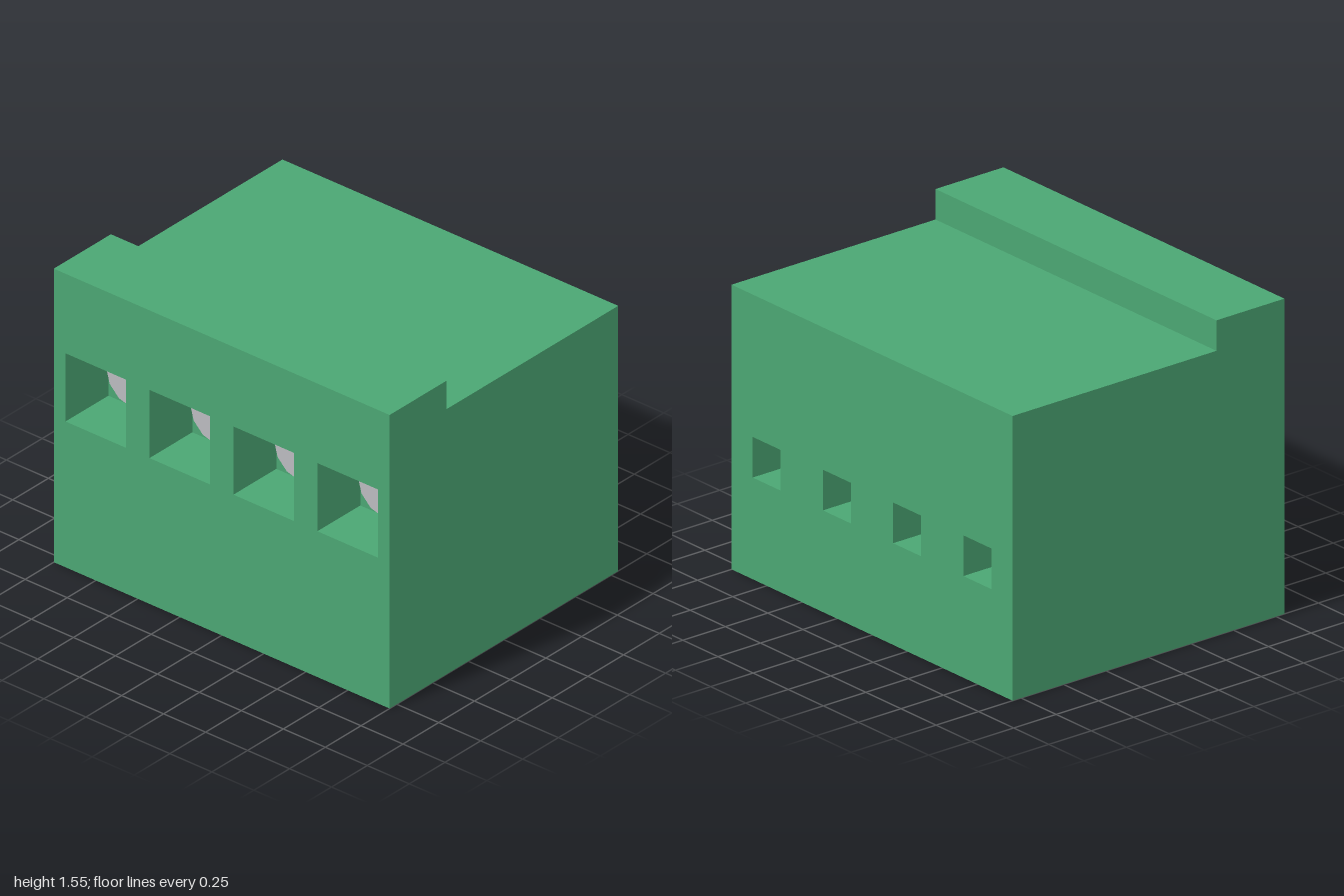
import * as THREE from 'three';
import { mergeGeometries } from 'three/addons/utils/BufferGeometryUtils.js';

const W = 2, D = 1.6, H = 1.55, DECK = 1.4, STEP_Z = 0.4;
const CENTERS = [-0.75, -0.25, 0.25, 0.75];
const Q = Math.PI / 2;

const green = new THREE.MeshStandardMaterial({ color: 0x4ba673, flatShading: true });
green.name = 'green plastic';
const steel = new THREE.MeshStandardMaterial({ color: 0xbbbbbf, flatShading: true });
steel.name = 'steel';
const dark = new THREE.MeshStandardMaterial({ color: 0x505050, flatShading: true });
dark.name = 'dark grey';

// Rectangle centred on (cx, cy), as a shape or a hole
function rect(Type, cx, cy, w, h) {
  const x = w / 2, y = h / 2;
  return new Type([[-x, -y], [x, -y], [x, y], [-x, y]]
    .map(([a, b]) => new THREE.Vector2(cx + a, cy + b)));
}

// Flat panel with one rectangular hole for each of the four positions
function panel(w, h, cy, holeY, holeW, holeH) {
  const shape = rect(THREE.Shape, 0, cy, w, h);
  shape.holes = CENTERS.map((x) => rect(THREE.Path, x, holeY, holeW, holeH));
  return new THREE.ShapeGeometry(shape);
}

// Square recess opening toward +z at z = 0
function pocket(size, depth) {
  const faces = [new THREE.PlaneGeometry(size, size).translate(0, 0, -depth)];
  for (let i = 0; i < 4; i++) {
    faces.push(new THREE.PlaneGeometry(size, depth).rotateX(-Q)
      .translate(0, -size / 2, -depth / 2).rotateZ(i * Q));
  }
  return mergeGeometries(faces);
}

// Stepped side wall facing +x or -x
function sideWall(sign) {
  const f = -sign; // panel x runs toward -z on the +x side
  const pts = [[-0.8, 0], [0.8, 0], [0.8, H], [STEP_Z, H], [STEP_Z, DECK], [-0.8, DECK]]
    .map(([z, y]) => new THREE.Vector2(f * z, y));
  return new THREE.ShapeGeometry(new THREE.Shape(pts))
    .rotateY(sign * Q).translate(sign * W / 2, 0, 0);
}

export function createModel() {
  const model = new THREE.Group();
  model.name = 'terminalBlock';
  const add = (name, geometry, material) => {
    const mesh = new THREE.Mesh(geometry, material);
    mesh.name = name;
    model.add(mesh);
    return mesh;
  };

  // Housing shell
  add('frontWall', panel(W, H, H / 2, 0.95, 0.36, 0.36).translate(0, 0, D / 2), green);
  add('backWall', panel(W, DECK, DECK / 2, 0.6, 0.2, 0.2).rotateY(Math.PI).translate(0, 0, -D / 2), green);
  add('bottom', panel(W, D, 0, 0.25, 0.3, 0.34).rotateX(Q), green);
  add('leftWall', sideWall(1), green);
  add('rightWall', sideWall(-1), green);
  add('deck', new THREE.PlaneGeometry(W, STEP_Z + D / 2).rotateX(-Q)
    .translate(0, DECK, (STEP_Z - D / 2) / 2), green);
  add('lipTop', new THREE.PlaneGeometry(W, D / 2 - STEP_Z).rotateX(-Q)
    .translate(0, H, (STEP_Z + D / 2) / 2), green);
  add('lipBack', new THREE.PlaneGeometry(W, H - DECK).rotateY(Math.PI)
    .translate(0, (H + DECK) / 2, STEP_Z), green);

  // Parts repeated for each terminal
  for (const x of CENTERS) {
    add('screwPocket', pocket(0.36, 0.3).translate(x, 0.95, D / 2), green);
    add('screwHead', new THREE.CylinderGeometry(0.15, 0.15, 0.05, 12).rotateX(Q)
      .translate(x, 0.95, 0.525), steel);
    add('wireHole', pocket(0.2, 0.4).rotateY(Math.PI).translate(x, 0.6, -D / 2), green);
    add('contactPad', new THREE.PlaneGeometry(0.3, 0.34).rotateX(Q).translate(x, 0, 0.25), dark);
  }
  return model;
}
